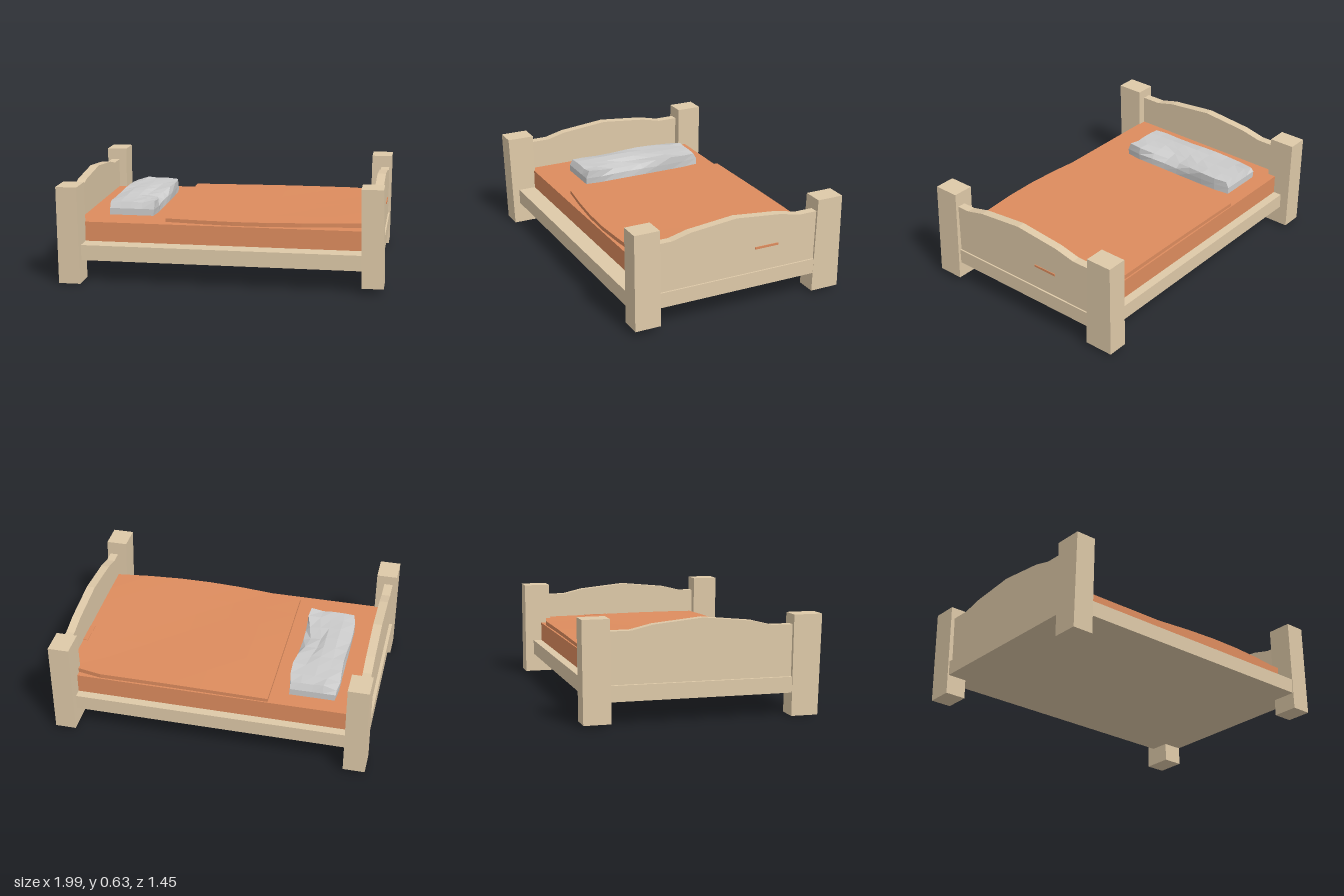
import * as THREE from 'three';

const material = (color) => new THREE.MeshStandardMaterial({ color, flatShading: true });

export function createModel() {
  const bed = new THREE.Group();
  bed.name = 'bed';
  const wood = material(0xdec9a8);
  const cloth = material(0xdd8c5e);
  const grey = material(0xcccccc);

  function add(name, geometry, mat) {
    const mesh = new THREE.Mesh(geometry, mat);
    mesh.name = name;
    bed.add(mesh);
    return mesh;
  }

  // Box between two corners, optionally subdivided
  function block([x0, y0, z0], [x1, y1, z1], segments = [1, 1, 1]) {
    return new THREE.BoxGeometry(x1 - x0, y1 - y0, z1 - z0, ...segments)
      .translate((x0 + x1) / 2, (y0 + y1) / 2, (z0 + z1) / 2);
  }

  // Move every vertex by a rule of its position
  function reshape(geometry, rule) {
    const p = geometry.attributes.position;
    const v = new THREE.Vector3();
    for (let i = 0; i < p.count; i++) {
      v.fromBufferAttribute(p, i);
      rule(v);
      p.setXYZ(i, v.x, v.y, v.z);
    }
    geometry.computeVertexNormals();
    return geometry;
  }

  // Corner posts, slightly crooked: bottom and top rectangles [x0, x1, z0, z1]
  function post(name, y0, y1, bottom, top) {
    const g = reshape(new THREE.BoxGeometry(1, 1, 1), (v) => {
      const r = v.y < 0 ? bottom : top;
      v.set(v.x < 0 ? r[0] : r[1], v.y < 0 ? y0 : y1, v.z < 0 ? r[2] : r[3]);
    });
    add(name, g, wood);
  }
  post('headPostFront', 0, 0.605, [-0.985, -0.85, 0.54, 0.705], [-0.985, -0.855, 0.55, 0.725]);
  post('headPostBack', 0.015, 0.62, [-0.99, -0.855, -0.72, -0.555], [-0.985, -0.855, -0.725, -0.56]);
  post('footPostFront', 0.035, 0.635, [0.865, 0.995, 0.505, 0.67], [0.85, 0.982, 0.505, 0.667]);
  post('footPostBack', 0.02, 0.62, [0.845, 0.975, -0.72, -0.535], [0.85, 0.98, -0.72, -0.552]);

  // Bed base
  add('frame', block([-0.98, 0.14, -0.665], [0.975, 0.235, 0.665]), wood);

  // Arched boards at the head and foot
  const arch = [[-0.57, 0.545], [-0.43, 0.545], [-0.3, 0.575], [0, 0.605], [0.3, 0.575], [0.42, 0.545], [0.57, 0.545]];
  function board(name, x0, x1) {
    const shape = new THREE.Shape();
    shape.moveTo(0.57, 0.2);
    shape.lineTo(-0.57, 0.2);
    arch.forEach(([z, y]) => shape.lineTo(-z, y));
    // Reorder as a clean outline: bottom edge, then the arch from one side to the other
    const outline = new THREE.Shape([
      new THREE.Vector2(-0.57, 0.2), new THREE.Vector2(0.57, 0.2),
      ...arch.map(([z, y]) => new THREE.Vector2(-z, y)),
    ]);
    const g = new THREE.ExtrudeGeometry(outline, { depth: x1 - x0, bevelEnabled: false });
    g.rotateY(Math.PI / 2).translate(x0, 0, 0);
    add(name, g, wood);
  }
  board('headboard', -0.96, -0.905);
  board('footboard', 0.912, 0.965);

  // Mattress
  add('mattress', block([-0.92, 0.22, -0.61], [0.93, 0.356, 0.552]), cloth);

  // Thin blanket, gently uneven, with its front edge bowed outward
  const blanket = block([-0.36, 0.358, -0.605], [0.91, 0.38, 0.49], [6, 1, 6]);
  add('blanket', reshape(blanket, (v) => {
    const t = (v.x + 0.36) / 1.27;
    const s = (v.z + 0.605) / 1.095;
    const isTop = v.y > 0.37;
    v.z += 0.055 * Math.sin(Math.PI * t) * s;
    if (t > 0.9) v.z += 0.04 * (1 - s);
    v.y += (isTop ? 0.012 : 0.006) * t + 0.004 * Math.sin(5 * t + 4 * s) * t;
  }), cloth);

  // Corner of the blanket showing through the footboard
  add('blanketTuck', block([0.88, 0.38, -0.288], [0.97, 0.394, -0.13]), cloth);

  // Crumpled pillow
  const pillow = block([-0.765, 0.35, -0.5], [-0.46, 0.445, 0.33], [4, 2, 8]);
  add('pillow', reshape(pillow, (v) => {
    const a = (v.x + 0.6125) / 0.1525;
    const b = (v.z + 0.085) / 0.415;
    const isTop = v.y > 0.44;
    const wobble = Math.sin(v.x * 47 + v.z * 31) * Math.cos(v.z * 19 - v.x * 13);
    if (isTop) {
      v.y += 0.01 * wobble - (a < -0.9 ? 0.018 : 0.006);
      // Dent along the inner edge
      if (a > 0.4) {
        const dent = Math.max(0, 1 - Math.abs(b - 0.2) / 0.6);
        v.x -= 0.05 * dent;
        v.y -= 0.02 * dent;
      }
    }
    if (v.y > 0.36) {
      v.x += 0.007 * wobble;
      if (Math.abs(b) > 0.95) v.z -= Math.sign(b) * (isTop ? 0.02 : 0);
    }
    if (Math.abs(b) > 0.95) v.x -= a * 0.012;
  }), grey);

  return bed;
}
